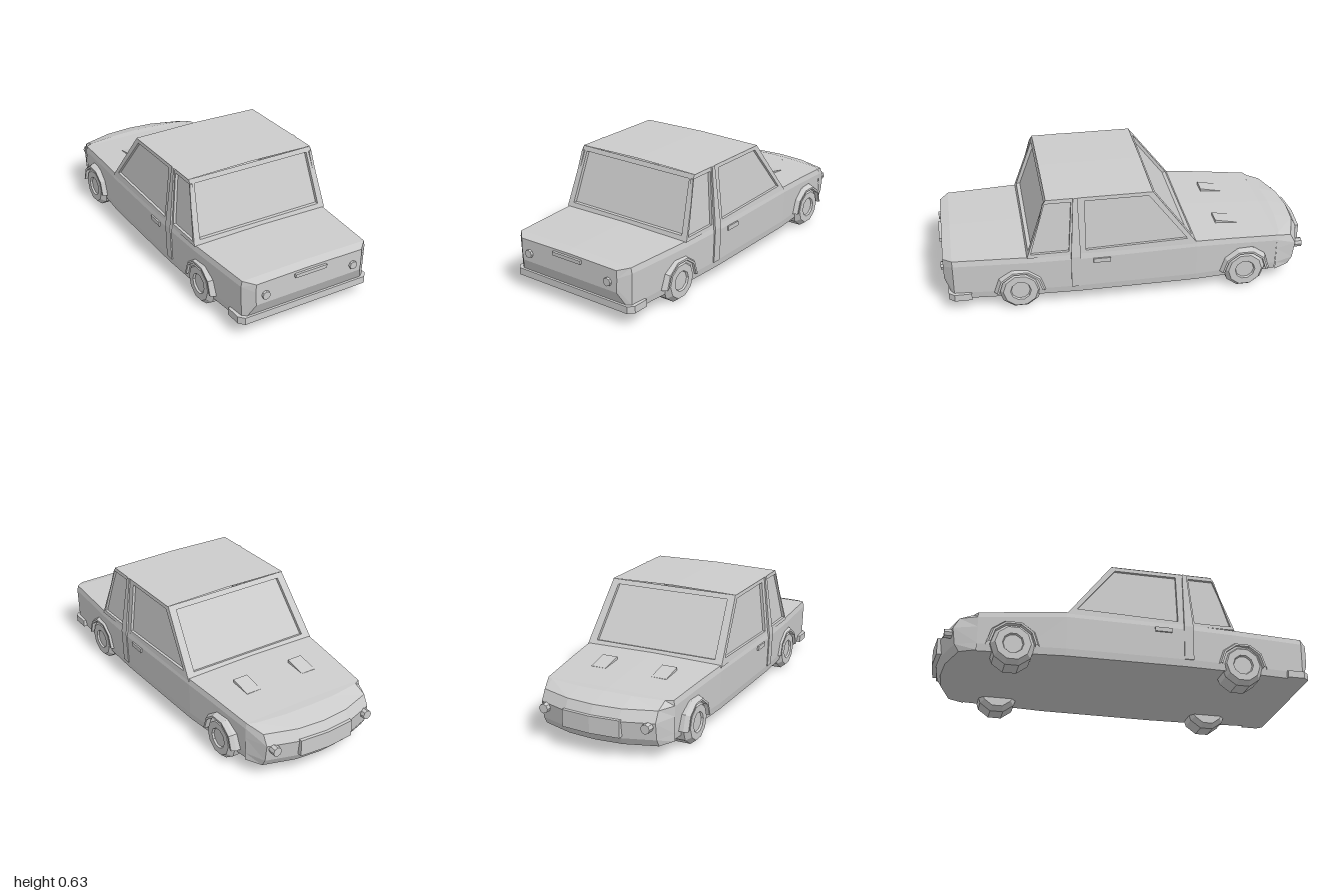
import * as THREE from 'three';

const mat = new THREE.MeshStandardMaterial({ color: 0xcccccc, flatShading: true });
const thin = new THREE.MeshStandardMaterial({ color: 0xcccccc, flatShading: true, side: THREE.DoubleSide });

function add(parent, name, geo, x = 0, y = 0, z = 0, material = mat) {
  const m = new THREE.Mesh(geo, material);
  m.name = name;
  m.position.set(x, y, z);
  parent.add(m);
  return m;
}

// Skin a grid of points (rows of equal length), turned to face outwards
function skin(rows, caps = false) {
  const tris = [];
  for (let i = 0; i + 1 < rows.length; i++)
    for (let j = 0; j + 1 < rows[i].length; j++) {
      const [a, b, c, d] = [rows[i][j], rows[i][j + 1], rows[i + 1][j + 1], rows[i + 1][j]];
      tris.push([a, b, c], [a, c, d]);
    }
  if (caps) {
    const first = rows[0], last = rows[rows.length - 1];
    for (let j = 1; j + 1 < first.length; j++)
      tris.push([first[0], first[j + 1], first[j]], [last[0], last[j], last[j + 1]]);
  }
  const pts = rows.flat().map((p) => new THREE.Vector3(...p));
  const centre = new THREE.Box3().setFromPoints(pts).getCenter(new THREE.Vector3());
  let volume = 0;
  for (const t of tris) {
    const [a, b, c] = t.map((p) => new THREE.Vector3(...p).sub(centre));
    volume += a.dot(b.cross(c));
  }
  if (volume < 0) tris.forEach((t) => t.reverse());
  const g = new THREE.BufferGeometry();
  g.setAttribute('position', new THREE.Float32BufferAttribute(tris.flat(2), 3));
  g.computeVertexNormals();
  return g;
}

// Four-cornered frame with a recessed pane
function framedWindow(parent, name, outer, inner, inset) {
  const back = inner.map((p) => p.map((v, i) => v + inset[i]));
  const close = (r) => [...r, r[0]];
  add(parent, name + 'Frame', skin([outer, inner, back].map(close)), 0, 0, 0, thin);
  add(parent, name + 'Glass', skin([[back[0], back[1]], [back[3], back[2]]]), 0, 0, 0, thin);
}

// Mirror half a row (centre to side) across x
const mirrorRow = (half) => [...half.slice(1).reverse().map(([x, y, z]) => [-x, y, z]), ...half];

export function createModel() {
  const car = new THREE.Group();
  car.name = 'car';

  // Lower body: closed sections along z [z, half width, shoulder height]
  const section = ([z, w, top]) => {
    const half = [[0, 0.07, z], [w - 0.012, 0.07, z], [w - 0.006, 0.108, z],
      [w, top - 0.03, z], [w - 0.006, top, z], [0, top + 0.005, z]];
    return [...half, ...half.slice(1, 5).reverse().map(([x, y, q]) => [-x, y, q]), half[0]];
  };
  const tail = [[0, 0.175, 0.987], [0.31, 0.175, 0.987], [0.313, 0.2, 0.987], [0.315, 0.25, 0.987],
    [0.313, 0.293, 0.987], [0, 0.297, 0.987]];
  const tailRing = [...tail, ...tail.slice(1, 5).reverse().map(([x, y, z]) => [-x, y, z]), tail[0]];
  const sections = [[0.94, 0.37, 0.304], [0.55, 0.397, 0.306], [0.28, 0.406, 0.308],
    [-0.35, 0.4, 0.315], [-0.55, 0.383, 0.302], [-0.8, 0.362, 0.282]];
  add(car, 'body', skin([tailRing, ...sections.map(section)], true));
  const lip = [[0.36, 0.97], [0.385, 0.94], [0.385, 0.85]];
  const lipShape = new THREE.Shape([...lip, ...lip.map(([x, z]) => [-x, z]).reverse()]
    .map(([x, z]) => new THREE.Vector2(x, z)));
  add(car, 'tailLip', new THREE.ExtrudeGeometry(lipShape, { depth: 0.038, bevelEnabled: false })
    .rotateX(Math.PI / 2), 0, 0.108, 0);

  // Curved nose: rows run from the floor up and back to the hood
  const xs = [0, 0.15, 0.32, 0.362], bow = [-0.988, -0.975, -0.92, -0.8];
  const noseRow = (y, dz) => mirrorRow(xs.map((x, i) => [x, y, i < 3 ? bow[i] + dz : -0.8]));
  const hoodRow = (zs) => mirrorRow(xs.map((x, i) => [x - (i === 3 ? 0.006 : 0), 0.287 - 0.005 * x / 0.36, zs[i]]));
  add(car, 'nose', skin([
    mirrorRow(xs.map((x) => [x, 0.07, -0.8])),
    noseRow(0.07, 0.035), noseRow(0.11, 0.012), noseRow(0.2, 0), noseRow(0.255, 0.03),
    hoodRow([-0.85, -0.845, -0.82, -0.8]), hoodRow([-0.8, -0.8, -0.8, -0.8])]));
  const grille = new THREE.Shape([[-0.16, -0.95], [0.16, -0.95], [0.16, -0.987], [0, -1], [-0.16, -0.987]]
    .map(([x, z]) => new THREE.Vector2(x, z)));
  add(car, 'grille', new THREE.ExtrudeGeometry(grille, { depth: 0.09, bevelEnabled: false })
    .rotateX(Math.PI / 2), 0, 0.21, 0);

  // Cabin: points on the sloping walls
  const t = (y) => (y - 0.305) / 0.32;
  const side = (s) => ([z, y]) => [s * (0.4 - 0.033 * t(y)), y, z];
  const rear = ([x, y]) => [x, y, 0.555 - 0.11 * t(y)];
  const front = ([x, y]) => [x, y, -0.35 + 0.24 * t(y)];
  const wall = [[-0.4, 0.305], [0.4, 0.305], [0.367, 0.625], [-0.367, 0.625]];
  framedWindow(car, 'rearWindow', wall.map(rear),
    [[-0.363, 0.33], [0.363, 0.33], [0.34, 0.6], [-0.34, 0.6]].map(rear), [0, 0, -0.02]);
  framedWindow(car, 'windshield', wall.map(front),
    [[-0.352, 0.335], [0.352, 0.335], [0.328, 0.602], [-0.328, 0.602]].map(front), [0, -0.005, 0.018]);
  const roofRow = (z) => [-0.37, -0.2, 0, 0.2, 0.37].map((x) => [x, 0.632 - 0.007 * Math.abs(x) / 0.37, z]);
  add(car, 'roof', skin([roofRow(0.445), roofRow(-0.11)]), 0, 0, 0, thin);

  // Wheel and arch profiles [radius, distance along the axle]
  const wheelGeo = new THREE.LatheGeometry([[0, -0.08], [0.09, -0.08], [0.115, -0.052], [0.115, 0.052],
    [0.092, 0.08], [0.055, 0.08], [0.05, 0.07], [0, 0.07]].map((p) => new THREE.Vector2(...p)), 10)
    .rotateZ(-Math.PI / 2);
  const archGeo = new THREE.LatheGeometry([[0.137, 0.35], [0.137, 0.385], [0.125, 0.408], [0.114, 0.408],
    [0.114, 0.36]].map((p) => new THREE.Vector2(...p)), 5, Math.PI, Math.PI).rotateZ(-Math.PI / 2);

  for (const s of [1, -1]) {
    const tag = s > 0 ? 'left' : 'right';
    framedWindow(car, tag + 'DoorWindow',
      [[0.28, 0.305], [-0.35, 0.305], [-0.11, 0.625], [0.28, 0.625]].map(side(s)),
      [[0.245, 0.325], [-0.295, 0.34], [-0.09, 0.603], [0.245, 0.603]].map(side(s)), [-0.015 * s, 0, 0]);
    framedWindow(car, tag + 'QuarterWindow',
      [[0.555, 0.305], [0.28, 0.305], [0.28, 0.625], [0.445, 0.625]].map(side(s)),
      [[0.535, 0.325], [0.335, 0.325], [0.315, 0.603], [0.46, 0.603]].map(side(s)), [-0.015 * s, 0, 0]);

    // Raised door pillar, bent at the waist
    const pillar = [[0.108, 0.405, 0.275, 0.325], [0.295, 0.412, 0.275, 0.325], [0.625, 0.374, 0.282, 0.305]]
      .map(([y, x, a, b]) => [[x - 0.03, y, a], [x, y, a], [x, y, b], [x - 0.03, y, b], [x - 0.03, y, a]]
        .map(([px, py, pz]) => [px * s, py, pz]));
    add(car, tag + 'Pillar', skin(pillar, true));
    add(car, tag + 'DoorHandle', new THREE.BoxGeometry(0.02, 0.024, 0.09), s * 0.403, 0.263, 0.163);

    // Wheels and arches
    for (const [end, z, dx] of [['Rear', 0.595, 0], ['Front', -0.62, 0]]) {
      const angle = s > 0 ? 0 : Math.PI;
      add(car, tag + end + 'Wheel', wheelGeo, s * 0.322 + dx, 0.109, z).rotation.y = angle;
      add(car, tag + end + 'WheelArch', archGeo, 0, 0.105, z, thin).rotation.y = angle;
    }

    // Lamps at both ends
    const lamp = (r, d) => new THREE.CylinderGeometry(r, r, d, 8).rotateX(Math.PI / 2);
    add(car, tag + 'TailLamp', lamp(0.022, 0.03), s * 0.26, 0.222, 0.985);
    add(car, tag + 'Headlamp', lamp(0.025, 0.08), s * 0.285, 0.18, -0.922);

    // Wedge-shaped hood scoop
    const scoop = new THREE.Shape([[0.49, 0.29], [0.62, 0.28], [0.61, 0.301], [0.49, 0.325]]
      .map((p) => new THREE.Vector2(...p)));
    add(car, tag + 'HoodScoop', new THREE.ExtrudeGeometry(scoop, { depth: 0.085, bevelEnabled: false })
      .rotateY(Math.PI / 2), s * 0.175 - 0.0425, 0, 0);
  }

  add(car, 'trunkHandle', new THREE.BoxGeometry(0.185, 0.019, 0.03), 0, 0.274, 0.985);
  return car;
}
